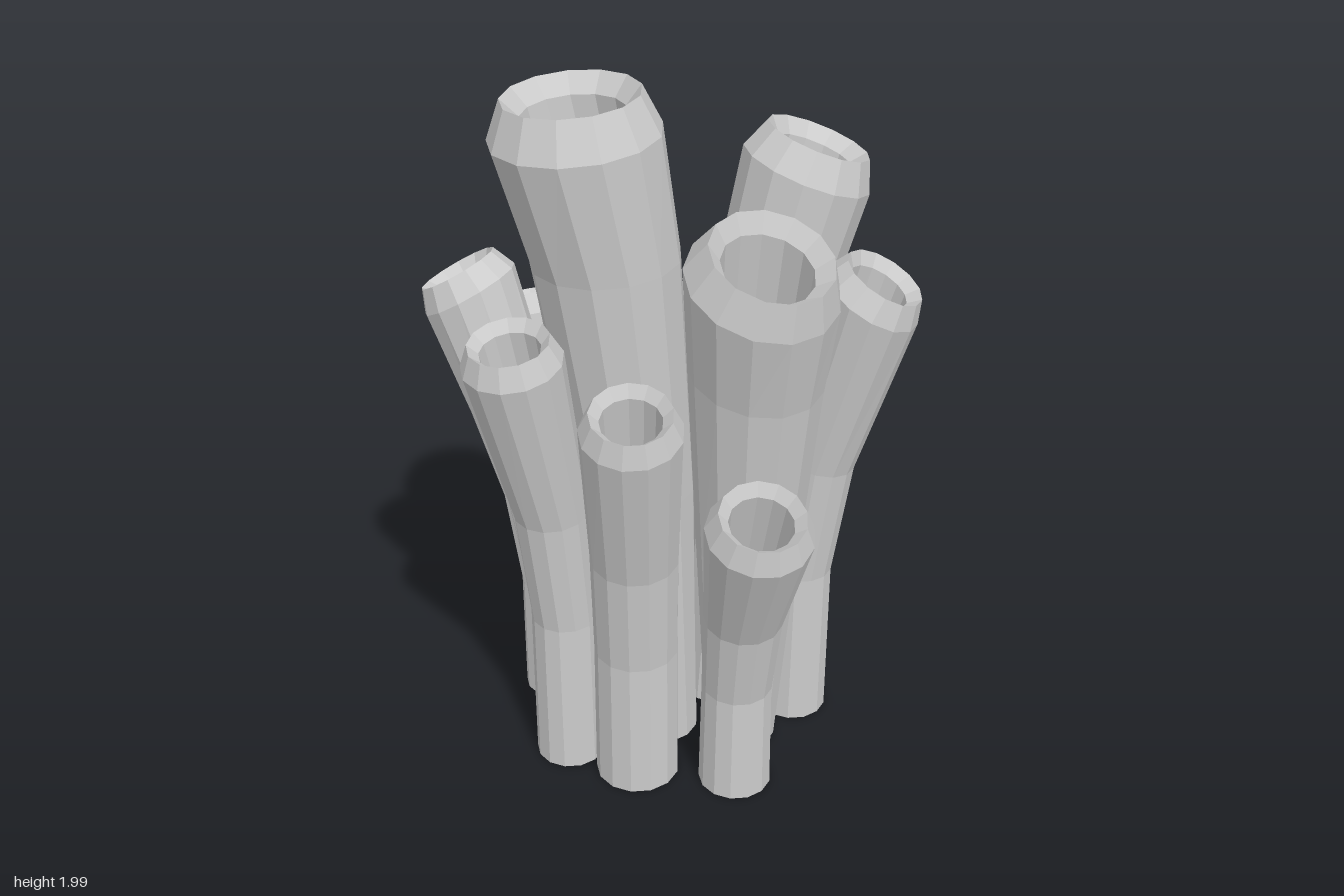
import * as THREE from 'three';

const SIDES = 13;

// Skin a stack of tilted rings { c: centre, n: normal, r: radius }
function skinRings(rings) {
  const pos = [], idx = [];
  for (const { c, n, r } of rings) {
    const u = new THREE.Vector3(1, 0, 0).addScaledVector(n, -n.x).normalize();
    const v = new THREE.Vector3().crossVectors(n, u);
    for (let j = 0; j < SIDES; j++) {
      const a = (j / SIDES) * Math.PI * 2;
      const p = c.clone().addScaledVector(u, r * Math.cos(a)).addScaledVector(v, r * Math.sin(a));
      pos.push(p.x, p.y, p.z);
    }
  }
  for (let i = 0; i < rings.length - 1; i++) {
    for (let j = 0; j < SIDES; j++) {
      const k = (j + 1) % SIDES;
      const a = i * SIDES + j, b = i * SIDES + k;
      idx.push(a, b, b + SIDES, a, b + SIDES, a + SIDES);
    }
  }
  const g = new THREE.BufferGeometry();
  g.setAttribute('position', new THREE.Float32BufferAttribute(pos, 3));
  g.setIndex(idx);
  g.computeVertexNormals();
  return g;
}

// Outer wall rings below the shoulder: fractions of [height, drift, tilt, flare]
const LARGE_WALL = [[0, 0, 0, 0], [0.45, 0.28, 0.2, 0.4], [0.82, 0.66, 0.6, 0.77]];
const SMALL_WALL = [[0, 0, 0, 0], [0.36, 0.02, 0.12, -0.12], [0.63, 0.27, 0.45, 0.12]];

// One hollow tube: foot (x, z, radius), shoulder (x, y, z, radius), mouth lean (x, z)
function tubeGeometry([fx, fz, fr, sx, sy, sz, R, leanX, leanZ], wall) {
  const up = new THREE.Vector3(0, 1, 0);
  const mouth = new THREE.Vector3(leanX, 1, leanZ).normalize();
  const shoulder = new THREE.Vector3(sx, sy, sz);
  const lerp = THREE.MathUtils.lerp;
  const at = (f, g) => new THREE.Vector3(lerp(fx, sx, g), lerp(0.01, sy, f), lerp(fz, sz, g));
  const tilt = (t) => up.clone().lerp(mouth, t).normalize();
  const lip = (h) => shoulder.clone().addScaledVector(mouth, h * R);
  const floor = { c: at(0.82, 0.65), n: tilt(0.7) };
  return skinRings([
    ...wall.map(([f, g, t, w]) => ({ c: at(f, g), n: tilt(t), r: lerp(fr, R, w) })),
    { c: shoulder, n: mouth, r: R },
    // bevelled lip
    { c: lip(0.47), n: mouth, r: R * 0.8 },
    { c: lip(0.25), n: mouth, r: R * 0.6 },
    // inner wall and floor
    { ...floor, r: R * 0.52 },
    { ...floor, r: 0.0005 },
  ]);
}

export function createModel() {
  const group = new THREE.Group();
  group.name = 'tubeCluster';
  const material = new THREE.MeshStandardMaterial({
    color: 0xcccccc, flatShading: true, side: THREE.DoubleSide,
  });

  const largeTubes = [
    [-0.05, 0.07, 0.118, -0.26, 1.885, 0.095, 0.222, -0.08, 0.02],
    [-0.065, -0.2, 0.137, -0.11, 1.33, -0.31, 0.215, -0.1, -0.26],
    [0.17, -0.07, 0.112, 0.392, 1.69, -0.07, 0.183, 0.37, 0.04],
    [0.18, 0.165, 0.103, 0.17, 1.535, 0.308, 0.207, 0.15, 0.42],
  ];
  const smallTubes = [
    [-0.25, -0.4, 0.097, -0.3, 1.12, -0.55, 0.128, -0.1, -0.38],
    [-0.32, -0.19, 0.095, -0.445, 1.08, -0.357, 0.127, -0.1, -0.12],
    [0.17, -0.275, 0.092, 0.245, 1.18, -0.395, 0.133, 0.18, -0.28],
    [-0.32, 0.05, 0.1, -0.525, 1.41, -0.1, 0.138, -0.5, -0.3],
    [-0.33, 0.135, 0.1, -0.46, 1.35, 0.237, 0.134, -0.14, 0.15],
    [-0.155, 0.265, 0.12, -0.19, 1.21, 0.408, 0.136, -0.06, 0.32],
    [0.11, 0.37, 0.104, 0.115, 0.95, 0.54, 0.144, 0.01, 0.38],
    [0.37, 0.06, 0.104, 0.515, 1.4, 0.16, 0.143, 0.48, 0.26],
  ];

  const addTubes = (name, specs, wall) => specs.forEach((spec, i) => {
    const mesh = new THREE.Mesh(tubeGeometry(spec, wall), material);
    mesh.name = name + (i + 1);
    group.add(mesh);
  });
  addTubes('largeTube', largeTubes, LARGE_WALL);
  addTubes('smallTube', smallTubes, SMALL_WALL);
  return group;
}
